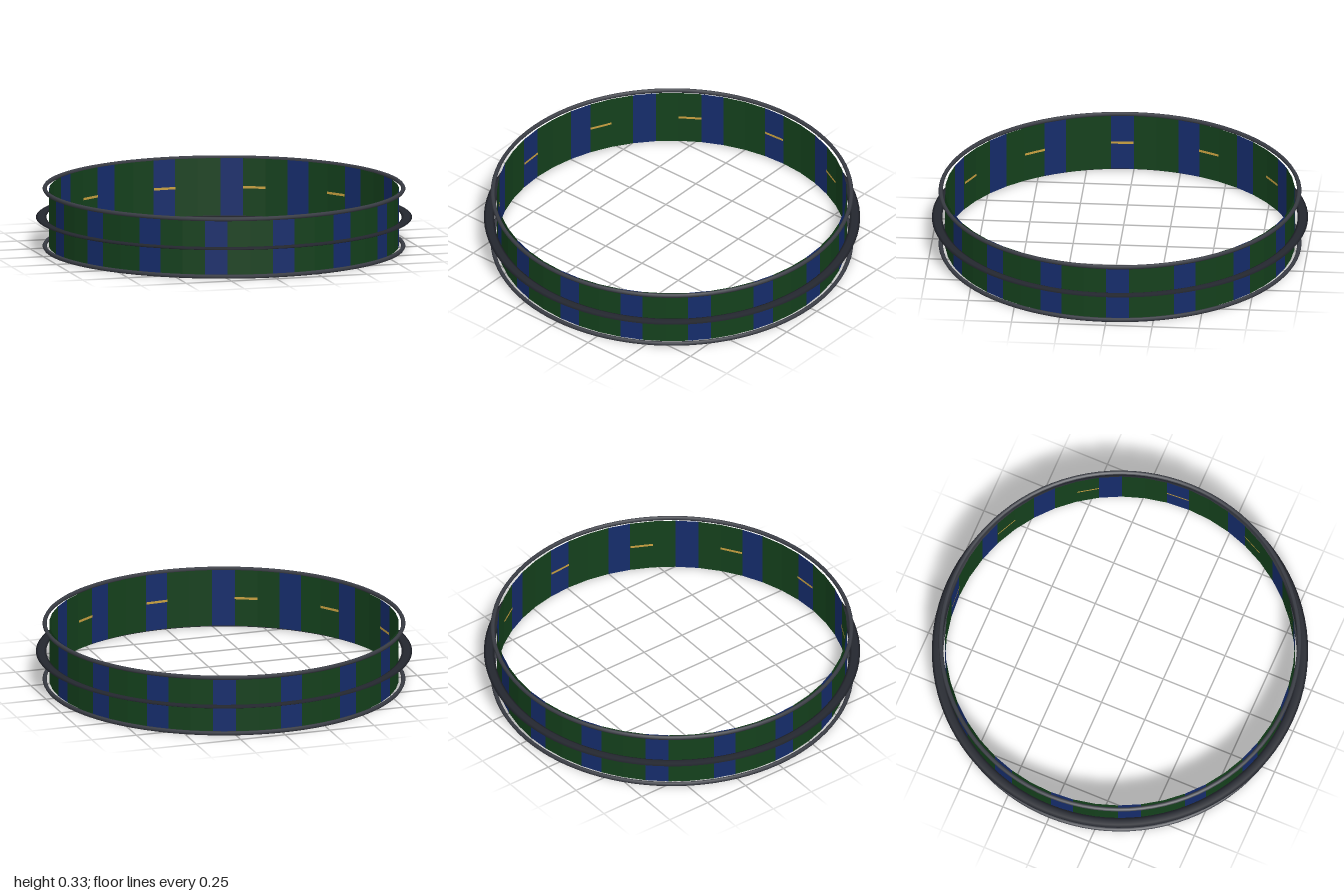
import * as THREE from 'three';

const SEGMENTS = 48;
const STEP = (Math.PI * 2) / SEGMENTS;
const WALL_RADIUS = 0.93;
const BOTTOM = 0.01;
const TOP = 0.32;
const MIDDLE = (BOTTOM + TOP) / 2;

const material = (color, extra = {}) => new THREE.MeshStandardMaterial({ color, ...extra });

// One flat panel of a circular wall, at the given step around the circle
function panel(name, index, radius, height, mat) {
  const geometry = new THREE.CylinderGeometry(radius, radius, height, 1, 1, true, index * STEP, STEP);
  const mesh = new THREE.Mesh(geometry, mat);
  mesh.name = name;
  mesh.position.y = MIDDLE;
  return mesh;
}

// Horizontal hoop with a six-sided section, optionally flattened
function hoop(name, y, radius, tube, flatten, mat) {
  const geometry = new THREE.TorusGeometry(radius, tube, 6, 96);
  geometry.rotateX(Math.PI / 2);
  geometry.scale(1, flatten, 1);
  const mesh = new THREE.Mesh(geometry, mat);
  mesh.name = name;
  mesh.position.y = y;
  return mesh;
}

export function createModel() {
  const model = new THREE.Group();
  model.name = 'stripedRing';

  const thin = { side: THREE.DoubleSide, flatShading: true };
  const green = material(0x14401c, thin);
  const blue = material(0x152c6b, thin);
  const gold = material(0xc8a040, thin);
  const rimGrey = material(0x3a3d45);
  const flangeGrey = material(0x24272f);

  // Striped wall: every third panel is blue
  const wall = new THREE.Group();
  wall.name = 'wall';
  for (let i = 0; i < SEGMENTS; i++) {
    const isBlue = i % 3 === 0;
    wall.add(panel(isBlue ? 'blueStripe' : 'greenPanel', i, WALL_RADIUS, TOP - BOTTOM, isBlue ? blue : green));
  }
  model.add(wall);

  // Twelve thin gold dashes on the inside of the wall
  const dashes = new THREE.Group();
  dashes.name = 'innerDashes';
  for (let i = 0; i < SEGMENTS; i += 4) {
    dashes.add(panel('goldDash', i, WALL_RADIUS - 0.004, 0.013, gold));
  }
  model.add(dashes);

  // Rims above and below, and the wider flat flange between them
  model.add(hoop('bottomRim', BOTTOM, 0.953, 0.0115, 1, rimGrey));
  model.add(hoop('topRim', TOP, 0.953, 0.0115, 1, rimGrey));
  model.add(hoop('middleFlange', MIDDLE, 0.972, 0.028, 0.25, flangeGrey));

  return model;
}
